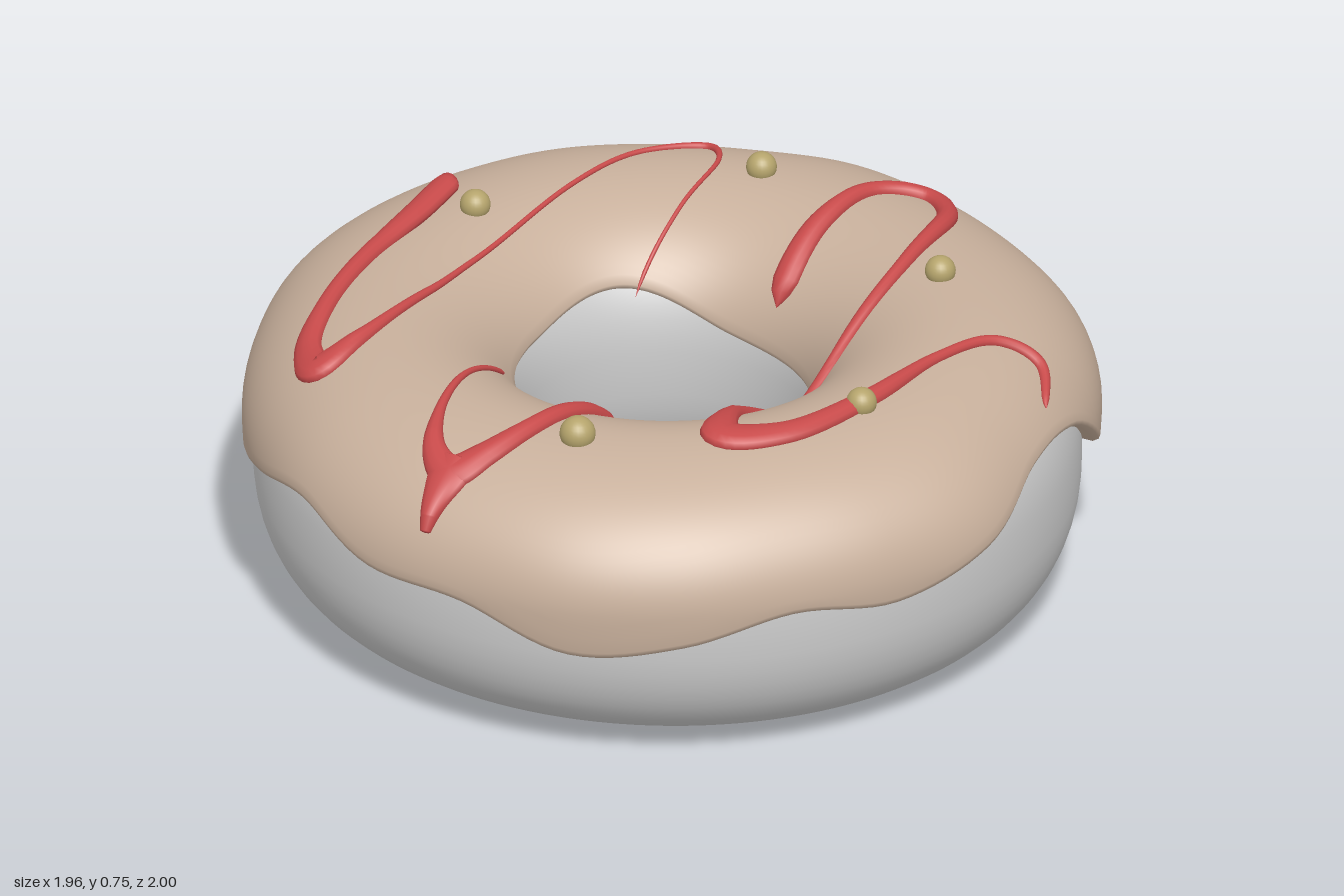
import * as THREE from 'three';

const TAU = Math.PI * 2;
const RING = 0.64; // radius of the ring's centre line
const MID = 0.42; // height of the icing's widest point
const RISE = 0.28; // icing crown above that height

// Icing outline, one value every 15 degrees from +x towards +z
const outerRadius = [0.97, 1.0, 0.99, 0.985, 1.0, 1.01, 1.0, 1.0, 0.99, 0.97, 0.965, 0.97,
  0.99, 0.995, 0.995, 1.0, 0.975, 0.965, 1.0, 0.985, 0.98, 0.99, 0.985, 0.97];
const outerEdge = [0.53, 0.45, 0.395, 0.42, 0.36, 0.335, 0.42, 0.43, 0.49, 0.43, 0.36, 0.33,
  0.31, 0.31, 0.34, 0.35, 0.36, 0.4, 0.36, 0.32, 0.3, 0.3, 0.34, 0.51];
// Icing edge inside the hole, every 45 degrees
const innerEdge = [0.45, 0.55, 0.62, 0.53, 0.52, 0.56, 0.47, 0.45];

// Smooth periodic lookup in a list of evenly spaced values
function around(list, theta) {
  const n = list.length;
  const s = (((theta / TAU) % 1) + 1) % 1 * n;
  const i = Math.floor(s), f = s - i;
  const [a, b, c, d] = [-1, 0, 1, 2].map((k) => list[(i + k + n) % n]);
  return b + 0.5 * f * (c - a + f * (2 * a - 5 * b + 4 * c - d + f * (3 * (b - c) + d - a)));
}

// Surface through a grid of points; either direction may close on itself
function gridSurface(nu, nv, point, closeU, closeV) {
  const positions = [], index = [];
  for (let i = 0; i < nu; i++) {
    for (let j = 0; j < nv; j++) positions.push(...point(i, j));
  }
  for (let i = 0; i < (closeU ? nu : nu - 1); i++) {
    for (let j = 0; j < (closeV ? nv : nv - 1); j++) {
      const i2 = (i + 1) % nu, j2 = (j + 1) % nv;
      const a = i * nv + j, b = i2 * nv + j, c = i * nv + j2, d = i2 * nv + j2;
      index.push(a, b, c, c, b, d);
    }
  }
  const geometry = new THREE.BufferGeometry();
  geometry.setAttribute('position', new THREE.Float32BufferAttribute(positions, 3));
  geometry.setIndex(index);
  geometry.computeVertexNormals();
  return geometry;
}

function innerRadius(theta) {
  return 0.325 + 0.01 * Math.cos(theta) + 0.02 * Math.sin(theta);
}

// Height of the icing above a point in plan
function icingHeight(x, z) {
  const theta = Math.atan2(z, x);
  const offset = Math.hypot(x, z) - RING;
  const half = offset > 0 ? around(outerRadius, theta) - RING : RING - innerRadius(theta);
  const t = Math.min(Math.abs(offset) / half, 0.97);
  return MID + RISE * Math.sqrt(1 - t * t);
}

// Dough: a squarish rounded ring with a slightly uneven base
function doughGeometry() {
  const nu = 128, nv = 56, power = 2 / 2.4;
  const soft = (v) => Math.sign(v) * Math.abs(v) ** power;
  return gridSurface(nu, nv, (i, j) => {
    const theta = (i / nu) * TAU;
    const phi = Math.PI - (j / nv) * TAU;
    const r = 0.635 + 0.305 * soft(Math.cos(phi));
    const sag = 0.006 * (1 - Math.sin(phi)) * Math.cos(theta + 0.98);
    const y = 0.345 + 0.33 * soft(Math.sin(phi)) - sag;
    return [0.01 + r * Math.cos(theta), y, 0.02 + r * Math.sin(theta)];
  }, true, true);
}

// Icing: crowned sheet with a wavy hem, both edges rolled back to the dough
function icingGeometry() {
  const nu = 192, span = 36, lip = 3;
  return gridSurface(nu, span + 1 + 2 * lip, (i, j) => {
    const theta = (i / nu) * TAU;
    const ro = around(outerRadius, theta), ri = innerRadius(theta);
    const edge = around(outerEdge, theta) - MID;
    const end = Math.asin(edge / (edge > 0 ? RISE : 0.5));
    const start = Math.PI - Math.asin((around(innerEdge, theta) - MID) / RISE);
    const k = THREE.MathUtils.clamp(j - lip, 0, span);
    const phi = start + (end - start) * (k / span);
    const c = Math.cos(phi), s = Math.sin(phi);
    let r = RING + c * (c > 0 ? ro - RING : RING - ri);
    let y = MID + s * (s > 0 ? RISE : 0.5);
    const tuck = Math.abs(j - lip - k);
    if (tuck) {
      r -= Math.sign(c) * [0.004, 0.018, 0.065][tuck - 1];
      y -= [0.012, 0.018, 0.004][tuck - 1];
    }
    return [r * Math.cos(theta), y, r * Math.sin(theta)];
  }, true, false);
}

// Drizzle strand: plan points [x, z, half width] draped over the icing
function drizzleGeometry(points, startLift = 0) {
  const curve = new THREE.CatmullRomCurve3(points.map(([x, z, w]) => new THREE.Vector3(x, w, z)));
  const nu = 140, nv = 12, frames = [];
  const drape = (p) => new THREE.Vector3(p.x, icingHeight(p.x, p.z), p.z);
  for (let i = 0; i < nu; i++) {
    const u = i / (nu - 1);
    const p = curve.getPoint(u), e = 0.01;
    const dx = icingHeight(p.x + e, p.z) - icingHeight(p.x - e, p.z);
    const dz = icingHeight(p.x, p.z + e) - icingHeight(p.x, p.z - e);
    const normal = new THREE.Vector3(-dx, 2 * e, -dz).normalize();
    const tangent = drape(curve.getPoint(Math.min(1, u + 0.004)))
      .sub(drape(curve.getPoint(Math.max(0, u - 0.004))));
    const side = tangent.cross(normal).normalize();
    const round = Math.sqrt(Math.min(1, Math.min(u, 1 - u) / 0.015));
    const w = Math.max(p.y, 0.005) * round;
    const centre = drape(p);
    centre.y += startLift * Math.max(0, 1 - u / 0.12);
    frames.push({ centre, normal, side, w, h: Math.min(w, 0.022) });
  }
  return gridSurface(nu, nv, (i, j) => {
    const { centre, normal, side, w, h } = frames[i];
    const a = (j / nv) * TAU;
    return centre.clone().addScaledVector(side, w * Math.cos(a))
      .addScaledVector(normal, 0.003 + h * Math.sin(a)).toArray();
  }, false, true);
}

export function createModel() {
  const model = new THREE.Group();
  model.name = 'glazedRing';
  const material = (color) => new THREE.MeshStandardMaterial({ color });
  const add = (name, geometry, mat) => {
    const mesh = new THREE.Mesh(geometry, mat);
    mesh.name = name;
    model.add(mesh);
    return mesh;
  };

  add('dough', doughGeometry(), material(0xcccccc));
  const icing = material(0xc8b09c);
  icing.side = THREE.DoubleSide;
  add('icing', icingGeometry(), icing);

  const red = material(0xc84a4a);
  add('rightDrizzle', drizzleGeometry([
    [-0.685, -0.25, 0.035], [-0.69, -0.1, 0.033], [-0.705, 0.12, 0.024], [-0.69, 0.35, 0.024],
    [-0.65, 0.51, 0.035], [-0.59, 0.575, 0.045], [-0.54, 0.48, 0.022], [-0.51, 0.2, 0.01],
    [-0.5, 0, 0.007], [-0.45, -0.39, 0.006], [-0.38, -0.61, 0.007], [-0.27, -0.71, 0.01],
    [-0.21, -0.64, 0.006], [-0.206, -0.45, 0.005], [-0.217, -0.25, 0.005]], 0.025), red);
  add('frontDrizzle', drizzleGeometry([
    [-0.25, 0.32, 0.006], [-0.25, 0.51, 0.008], [-0.215, 0.7, 0.014], [-0.165, 0.81, 0.03],
    [-0.1, 0.85, 0.045], [-0.045, 0.79, 0.035], [0.005, 0.68, 0.026], [0.04, 0.53, 0.024],
    [0.06, 0.4, 0.025]]), red);
  add('frontDrip', drizzleGeometry([
    [-0.1, 0.82, 0.06], [-0.105, 0.87, 0.05], [-0.11, 0.92, 0.03], [-0.11, 0.96, 0.012]]), red);
  add('leftDrizzle', drizzleGeometry([
    [0.105, -0.33, 0.036], [0.12, -0.52, 0.028], [0.17, -0.69, 0.02], [0.27, -0.755, 0.025],
    [0.355, -0.68, 0.025], [0.385, -0.44, 0.018], [0.37, -0.18, 0.016], [0.355, 0.08, 0.016],
    [0.355, 0.35, 0.022], [0.41, 0.5, 0.05], [0.53, 0.42, 0.036], [0.62, 0.19, 0.026],
    [0.665, -0.05, 0.014], [0.73, -0.21, 0.014], [0.82, -0.245, 0.015], [0.895, -0.14, 0.008]]), red);

  // Sugar pearls
  const pearl = material(0xb5a46c);
  const spots = [[-0.1, -0.64], [0.487, -0.4], [-0.59, -0.18], [0.62, 0.23], [0.12, 0.66]];
  spots.forEach(([x, z], i) => {
    const radius = i === 4 ? 0.041 : 0.035;
    add('pearl', new THREE.SphereGeometry(radius, 24, 16), pearl).position.set(x, icingHeight(x, z) + 0.012, z);
  });
  return model;
}
